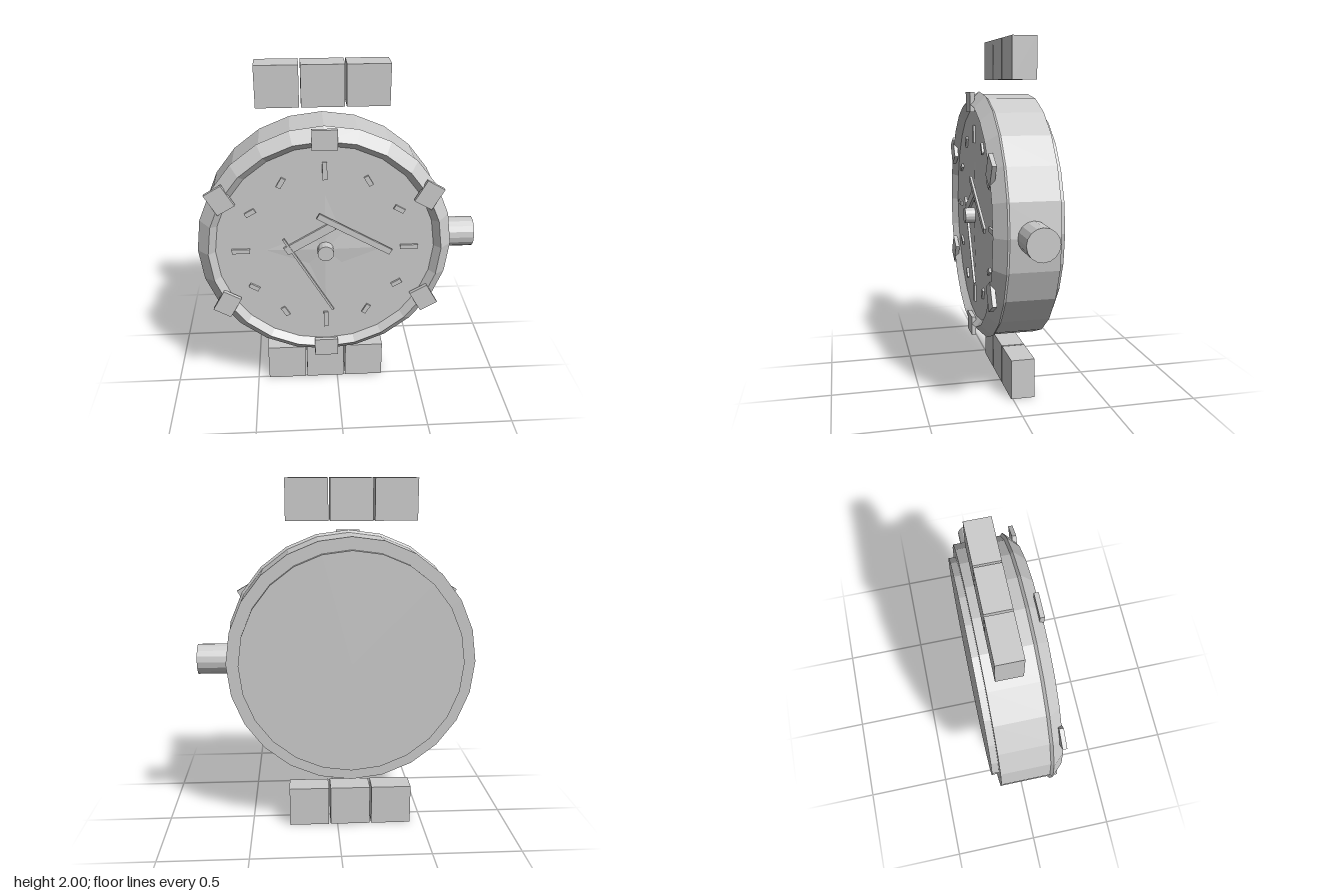
import * as THREE from 'three';

export function createModel() {
  const model = new THREE.Group();
  model.name = 'wristwatch';
  const steel = new THREE.MeshStandardMaterial({ color: 0xcccccc, flatShading: true });
  steel.name = 'steel grey';

  const CX = -0.075, CY = 1; // centre of the watch head
  const head = new THREE.Group();
  head.name = 'watchHead';
  head.position.set(CX, CY, 0);
  model.add(head);

  function add(parent, name, geometry, x = 0, y = 0, z = 0, turn = 0) {
    const mesh = new THREE.Mesh(geometry, steel);
    mesh.name = name;
    mesh.position.set(x, y, z);
    mesh.rotation.z = turn;
    parent.add(mesh);
    return mesh;
  }
  // Disc with its axis along z, between two depths
  function disc(name, radius, back, front, sides = 24) {
    const geometry = new THREE.CylinderGeometry(radius, radius, front - back, sides).rotateX(Math.PI / 2);
    return add(head, name, geometry, 0, 0, (front + back) / 2);
  }
  // Bar lying on the dial between two points
  function hand(name, x1, y1, x2, y2, width, z) {
    const length = Math.hypot(x2 - x1, y2 - y1);
    add(head, name, new THREE.BoxGeometry(length, width, 0.014),
      (x1 + x2) / 2, (y1 + y2) / 2, z, Math.atan2(y2 - y1, x2 - x1));
  }

  // Case, back cover and dial
  disc('caseBody', 0.696, -0.167, 0.125);
  disc('backCover', 0.626, -0.205, -0.16);
  disc('dial', 0.62, 0.1, 0.14);

  // Diamond-section bezel ring
  add(head, 'bezel', new THREE.TorusGeometry(0.647, 0.063, 4, 24), 0, 0, 0.114);

  // Six bezel tabs, turned against their position around the ring
  for (let i = 0; i < 6; i++) {
    const a = i * Math.PI / 3;
    add(head, 'bezelTab', new THREE.BoxGeometry(0.135, 0.11, 0.024),
      Math.sin(a) * 0.652, Math.cos(a) * 0.652, 0.167, a);
  }

  // Hour marks, longer at the quarters
  for (let i = 0; i < 12; i++) {
    const a = i * Math.PI / 6;
    const length = i % 3 === 0 ? 0.1 : 0.06;
    add(head, 'hourMark', new THREE.BoxGeometry(0.026, length, 0.02),
      Math.sin(a) * 0.47, Math.cos(a) * 0.47, 0.142, a);
  }

  // Low four-pointed star in the middle of the dial
  const corners = [];
  for (let i = 0; i < 8; i++) {
    const a = i * Math.PI / 4;
    const r = i % 2 ? 0.13 : 0.33;
    corners.push([Math.cos(a) * r, Math.sin(a) * r, 0.1405]);
  }
  const points = [];
  corners.forEach((c, i) => points.push(0, 0, 0.15, ...c, ...corners[(i + 1) % 8]));
  const star = new THREE.BufferGeometry();
  star.setAttribute('position', new THREE.Float32BufferAttribute(points, 3));
  star.computeVertexNormals();
  add(head, 'dialStar', star);

  // Hands and centre pin
  hand('minuteHand', -0.04, 0.212, 0.365, -0.022, 0.034, 0.16);
  hand('hourHand', -0.22, -0.005, 0.045, 0.148, 0.05, 0.152);
  hand('secondHand', -0.232, 0.073, 0.042, -0.398, 0.012, 0.156);
  disc('centrePin', 0.045, 0.13, 0.205, 16);

  // Winding crown on the side
  add(head, 'crown', new THREE.CylinderGeometry(0.086, 0.086, 0.22, 16).rotateZ(Math.PI / 2),
    0.75, 0, -0.024);

  // Strap links above and below, three in a row
  for (const [y, height] of [[1.8875, 0.225], [0.1145, 0.229]]) {
    for (const step of [-1, 0, 1]) {
      add(model, 'strapLink', new THREE.BoxGeometry(0.231, height, 0.135), CX + step * 0.241, y, -0.058);
    }
  }
  return model;
}
